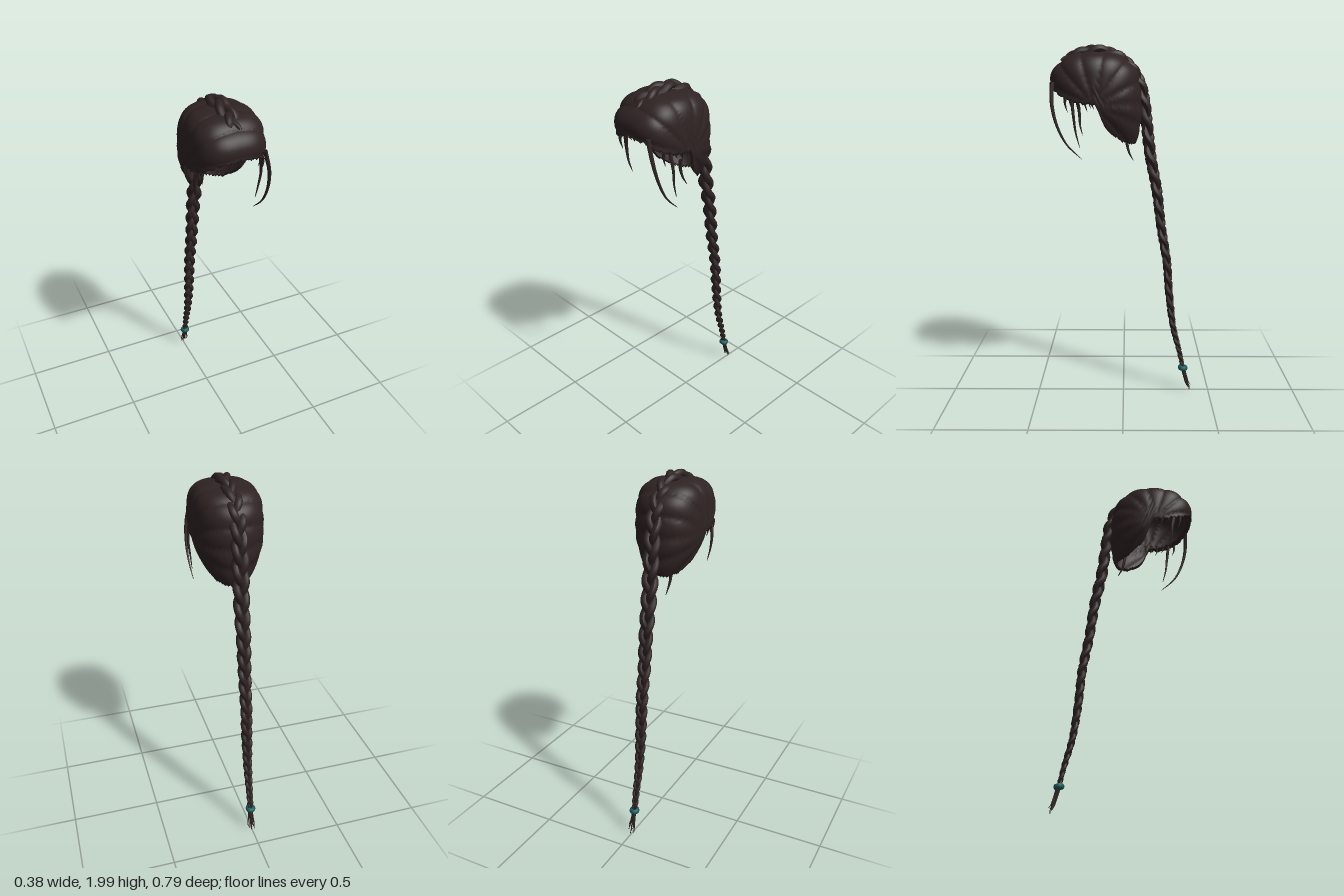
import * as THREE from 'three';

const V = (x, y, z) => new THREE.Vector3(x, y, z);
const lerp = THREE.MathUtils.lerp;

// Piecewise-linear lookup in [[x, y], ...]
function lookup(table, x) {
  for (let i = 1; i < table.length; i++) {
    const [x0, y0] = table[i - 1], [x1, y1] = table[i];
    if (x <= x1) return lerp(y0, y1, (x - x0) / (x1 - x0));
  }
  return table[table.length - 1][1];
}

// Tube whose radius follows radiusAt(u)
function taperTube(curve, segments, sides, radiusAt) {
  const geo = new THREE.TubeGeometry(curve, segments, 1, sides, false);
  const pos = geo.attributes.position, v = V();
  for (let i = 0; i <= segments; i++) {
    const centre = curve.getPointAt(i / segments), r = radiusAt(i / segments);
    for (let j = 0; j <= sides; j++) {
      const k = i * (sides + 1) + j;
      v.fromBufferAttribute(pos, k).sub(centre).multiplyScalar(r).add(centre);
      pos.setXYZ(k, v.x, v.y, v.z);
    }
  }
  geo.computeVertexNormals();
  return geo;
}

// Scalp rings from crown to nape: height, half width, front z, back z
const RINGS = [
  [1.958, 0.0, 0.16, 0.16], [1.955, 0.07, 0.23, 0.08], [1.94, 0.128, 0.29, 0.02],
  [1.91, 0.161, 0.335, -0.03], [1.87, 0.178, 0.372, -0.065], [1.82, 0.185, 0.392, -0.085],
  [1.75, 0.187, 0.39, -0.095], [1.65, 0.178, 0.36, -0.097], [1.55, 0.14, 0.31, -0.088],
  [1.46, 0.085, 0.14, -0.06],
];
// Hem height by angle in degrees from the front
const HEM = [[0, 1.785], [30, 1.77], [50, 1.72], [70, 1.69], [88, 1.685], [92, 1.62],
  [98, 1.54], [115, 1.485], [140, 1.47], [180, 1.48]];

function scalpGeometry() {
  const profile = new THREE.CatmullRomCurve3(RINGS.map(r => V(r[1], r[0], r[2])), false, 'catmullrom', 0.5);
  const backs = new THREE.CatmullRomCurve3(RINGS.map(r => V(r[3], r[0], 0)), false, 'catmullrom', 0.5);
  const cols = 144, rows = 48, pts = [], index = [];
  for (let i = 0; i < cols; i++) {
    const a = i / cols * Math.PI * 2, sx = Math.sin(a), cz = Math.cos(a);
    const deg = Math.abs(i / cols * 360 > 180 ? 360 - i / cols * 360 : i / cols * 360);
    const ragged = 0.008 * Math.sin(i * 2.3) * Math.sin(i * 0.71);
    const hem = lookup(HEM, deg) + ragged;
    let lo = 0, hi = 1;
    for (let n = 0; n < 20; n++) {
      const mid = (lo + hi) / 2;
      if (profile.getPoint(mid).y > hem) lo = mid; else hi = mid;
    }
    // rounded-box ring, squarer at the front than at the back
    const e = cz > 0 ? 2.8 : 2.3;
    const k = Math.pow(Math.pow(Math.abs(sx), e) + Math.pow(Math.abs(cz), e), -1 / e);
    for (let j = 0; j <= rows + 1; j++) {
      const s = Math.min(j / rows, 1) * lo;
      const p = profile.getPoint(s), zb = backs.getPoint(s).x;
      const lip = j > rows ? 0.9 : 1;
      const zc = (p.z + zb) / 2;
      const v = V(sx * k * p.x * lip, p.y + (j > rows ? 0.012 : 0), zc + cz * k * (p.z - zb) / 2 * lip);
      // soft swept locks fanning around the x axis
      const fan = Math.atan2(v.y - 1.68, v.z - 0.15);
      const wave = Math.abs(Math.sin(fan * 7 + Math.abs(v.x) * 2.5));
      const grow = 1 + 0.05 * (Math.sqrt(wave) - 0.6) * Math.min(1, j / 6);
      v.set(v.x * grow, 1.72 + (v.y - 1.72) * (1 + (grow - 1) * 0.7), 0.15 + (v.z - 0.15) * grow);
      pts.push(v);
    }
  }
  const stride = rows + 2;
  for (let i = 0; i < cols; i++) for (let j = 0; j < stride - 1; j++) {
    const a = i * stride + j, b = ((i + 1) % cols) * stride + j;
    index.push(a, a + 1, b, b, a + 1, b + 1);
  }
  const geo = new THREE.BufferGeometry().setFromPoints(pts);
  geo.setIndex(index);
  geo.computeVertexNormals();
  return geo;
}

export function createModel() {
  const group = new THREE.Group();
  group.name = 'braidedHair';
  const hair = new THREE.MeshStandardMaterial({ color: 0x2f2323, side: THREE.DoubleSide });
  hair.name = 'dark brown hair';
  const teal = new THREE.MeshStandardMaterial({ color: 0x1c5c5c });
  teal.name = 'teal band';
  const add = (name, geo, mat = hair) => {
    const mesh = new THREE.Mesh(geo, mat);
    mesh.name = name;
    group.add(mesh);
    return mesh;
  };

  add('scalpHair', scalpGeometry());

  // Braid centre line as [z, y], from forehead over the crown and down the back
  const path = new THREE.CatmullRomCurve3([
    [0.33, 1.905], [0.25, 1.945], [0.15, 1.966], [0.05, 1.945], [-0.03, 1.89], [-0.083, 1.81],
    [-0.11, 1.72], [-0.128, 1.58], [-0.15, 1.4], [-0.188, 1.2], [-0.213, 1.0], [-0.247, 0.8],
    [-0.264, 0.6], [-0.29, 0.4], [-0.328, 0.25], [-0.35, 0.15],
  ].map(([z, y]) => V(0, y, z)));
  const width = u => lookup([[0, 0.04], [0.06, 0.046], [0.4, 0.045], [0.6, 0.037], [0.8, 0.031], [1, 0.017]], u);

  // Three strands weaving in a flat figure of eight
  const steps = 260, length = path.getLength();
  for (let s = 0; s < 3; s++) {
    let phase = s * Math.PI * 2 / 3;
    const pts = [];
    for (let i = 0; i <= steps; i++) {
      const u = i / steps, w = width(u), p = path.getPointAt(u), t = path.getTangentAt(u);
      const normal = V(0, -t.z, t.y);
      p.addScaledVector(normal, -w * 0.3 * Math.sin(2 * phase));
      p.x += w * 0.56 * Math.sin(phase);
      pts.push(p);
      phase += Math.PI * 2 * (length / steps) / (7 * w);
    }
    add('braidStrand' + (s + 1),
      taperTube(new THREE.CatmullRomCurve3(pts), 360, 10, u => width(u) * 0.46 * Math.min(1, 0.4 + u * 30)));
  }

  // Hair tie
  const tie = add('hairTie', new THREE.TorusGeometry(0.016, 0.0125, 12, 28), teal);
  tie.position.set(0, 0.148, -0.35);
  tie.rotation.x = Math.PI / 2 - 0.15;
  tie.scale.z = 1.2;

  // Loose tuft below the tie
  for (let i = 0; i < 9; i++) {
    const a = i * 2.4, r = 0.006 + 0.019 * (i / 8), drop = 0.01 + 0.035 * ((i * 5) % 9) / 9;
    add('tuftLock' + (i + 1), taperTube(new THREE.CatmullRomCurve3([
      V(Math.cos(a) * 0.006, 0.15, -0.35 + Math.sin(a) * 0.006),
      V(Math.cos(a) * r * 0.6, 0.09, -0.366 + Math.sin(a) * r * 0.4),
      V(Math.cos(a) * r, 0.05, -0.378 + Math.sin(a) * r * 0.5),
      V(Math.cos(a + 0.6) * r, drop, -0.39 + Math.sin(a) * r * 0.4),
    ]), 12, 6, u => 0.0065 * (1 - u) + 0.001));
  }

  // Loose locks: points and thickness
  const loose = [
    ['frontLockLeft', [[0.13, 1.8, 0.375], [0.158, 1.69, 0.375], [0.17, 1.58, 0.35], [0.17, 1.48, 0.3], [0.165, 1.4, 0.22]], 0.011],
    ['sideLockLeft', [[0.165, 1.72, 0.27], [0.178, 1.62, 0.26], [0.172, 1.54, 0.25], [0.168, 1.46, 0.23]], 0.009],
    ['sideLockRight', [[-0.16, 1.72, 0.27], [-0.175, 1.64, 0.255], [-0.168, 1.56, 0.25], [-0.158, 1.5, 0.235]], 0.011],
    ['napeLock', [[-0.055, 1.52, -0.015], [-0.06, 1.46, -0.02], [-0.054, 1.41, -0.033], [-0.048, 1.37, -0.055]], 0.011],
  ];
  for (const [name, pts, r] of loose)
    add(name, taperTube(new THREE.CatmullRomCurve3(pts.map(p => V(...p))), 28, 8,
      u => r * Math.pow(1 - u, 0.7) + 0.0008));

  // Short wisps along the side hems
  for (const side of [-1, 1]) for (let i = 0; i < 6; i++) {
    const z = 0.13 + i * 0.035, x = side * (0.176 - Math.max(0, z - 0.2) * 0.15);
    add('hemWisp', taperTube(new THREE.CatmullRomCurve3([
      V(x, 1.72, z), V(x, 1.69, z), V(x * 0.98, 1.645 + (i * 3 % 5) * 0.006, z - 0.012),
    ]), 8, 6, u => 0.009 * (1 - u) + 0.0008));
  }

  return group;
}
